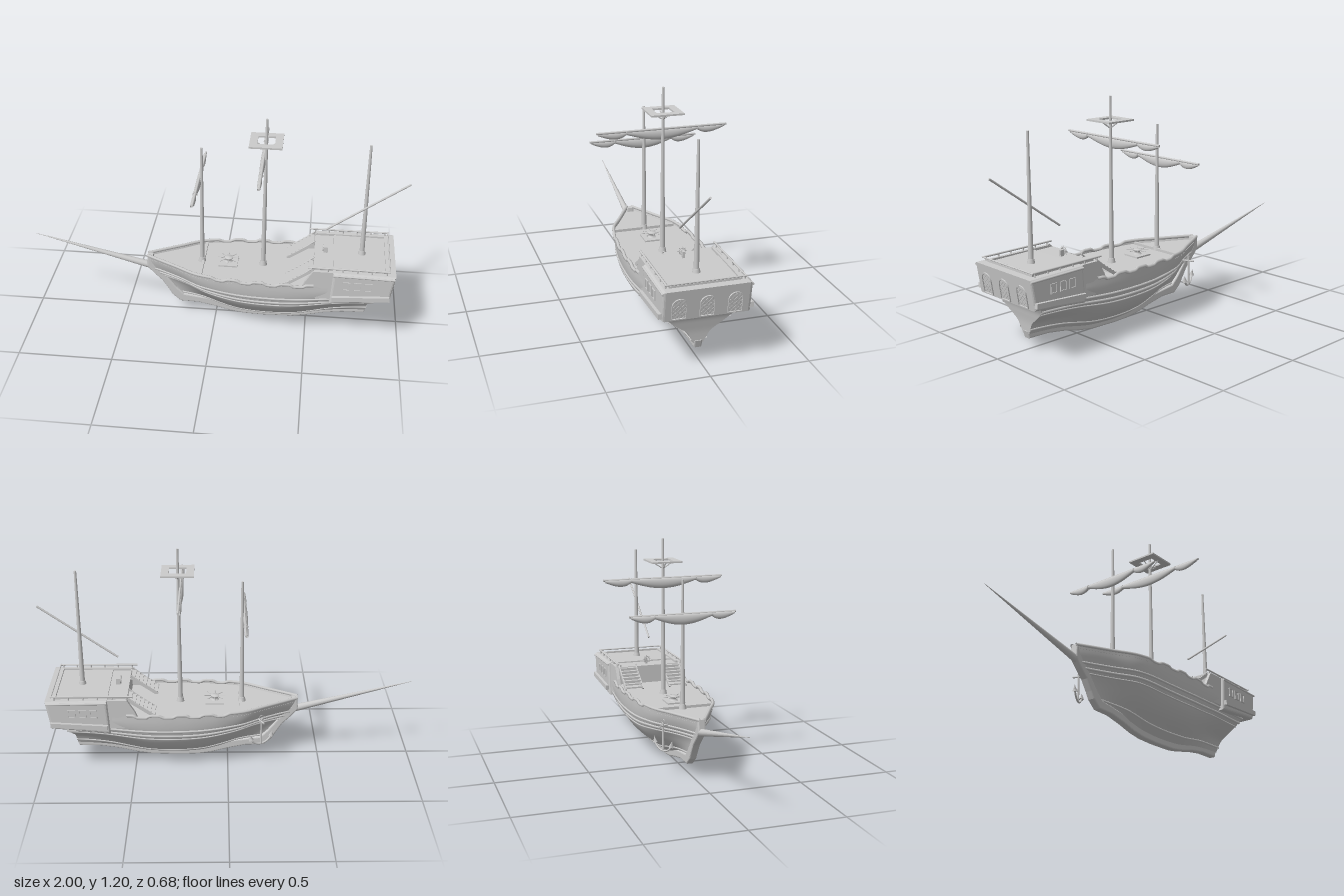
import * as THREE from 'three';

const mat = new THREE.MeshStandardMaterial({ color: 0xcccccc, side: THREE.DoubleSide });
const V = (x, y, z) => new THREE.Vector3(x, y, z);

function add(parent, name, geo, x = 0, y = 0, z = 0) {
  const m = new THREE.Mesh(geo, mat);
  m.name = name;
  m.position.set(x, y, z);
  parent.add(m);
  return m;
}
const box = (p, name, w, h, d, x, y, z) => add(p, name, new THREE.BoxGeometry(w, h, d), x, y, z);

// Tapered round bar from a to b
function bar(parent, name, a, b, r1, r2 = r1, sides = 10) {
  const d = b.clone().sub(a);
  const m = add(parent, name, new THREE.CylinderGeometry(r2, r1, d.length(), sides));
  m.position.copy(a).addScaledVector(d, 0.5);
  m.quaternion.setFromUnitVectors(V(0, 1, 0), d.normalize());
  return m;
}

// Grid surface from a function of (u, v)
function surface(nu, nv, fn) {
  const pos = [], idx = [];
  for (let j = 0; j <= nv; j++) for (let i = 0; i <= nu; i++) pos.push(...fn(i / nu, j / nv).toArray());
  for (let j = 0; j < nv; j++) for (let i = 0; i < nu; i++) {
    const a = j * (nu + 1) + i, c = a + nu + 1;
    idx.push(a, a + 1, c, a + 1, c + 1, c);
  }
  const g = new THREE.BufferGeometry();
  g.setAttribute('position', new THREE.Float32BufferAttribute(pos, 3));
  g.setIndex(idx);
  g.computeVertexNormals();
  return g;
}

// Smooth lookup in a table of [key, value...] rows
function table(rows) {
  const n = rows[0].length - 1;
  const it = new THREE.CubicInterpolant(rows.map(r => r[0]), rows.flatMap(r => r.slice(1)), n);
  return t => Array.from(it.evaluate(t));
}
const polygon = pts => new THREE.Shape(pts.map(p => new THREE.Vector2(...p)));

// Side profile extruded across the ship, centred on z
function slab(pts, width, bevel = 0) {
  const g = new THREE.ExtrudeGeometry(polygon(pts), {
    depth: width - 2 * bevel, bevelEnabled: bevel > 0, bevelSize: bevel, bevelThickness: bevel, bevelOffset: -bevel, bevelSegments: 3 });
  return g.translate(0, 0, -width / 2 + bevel);
}

// Hull lines: keel height, levels (bow x, stern x, half beam, stern half beam), plan fullness
const keelY = table([[-0.4, 0.09], [-0.2, 0.09], [-0.05, 0.08], [0.15, 0.035], [0.42, 0.035], [0.65, 0.075], [0.9, 0.09]]);
const level = table([[0, -0.2, 0.825, 0.03, 0.025], [0.12, -0.235, 0.828, 0.075, 0.04], [0.25, -0.255, 0.832, 0.125, 0.06],
  [0.4, -0.28, 0.84, 0.165, 0.11], [0.55, -0.315, 0.85, 0.19, 0.155], [0.7, -0.35, 0.87, 0.206, 0.18],
  [0.85, -0.37, 0.885, 0.213, 0.19], [1, -0.38, 0.89, 0.215, 0.19]]);
const plan = table([[0, 0.08], [0.063, 0.28], [0.14, 0.52], [0.22, 0.78], [0.28, 0.88], [0.38, 0.96], [0.5, 1], [1, 1]]);

// Rail height, with scallops along the waist
function railY(x) {
  const waist = THREE.MathUtils.smoothstep(x, -0.03, 0.03);
  return 0.348 - waist * (0.006 + 0.006 * Math.tanh(3 * Math.sin(x * 45)));
}
function hullPoint(t, v, side, out = 0) {
  const [xb, xs, beam, stern] = level(v);
  const x = xb + (xs - xb) * t, k = keelY(x)[0];
  const w = THREE.MathUtils.lerp(beam, stern, THREE.MathUtils.smoothstep(t, 0.55, 1));
  const f = Math.pow(plan(t)[0], 1 + (1 - v) * 0.7);
  const top = THREE.MathUtils.lerp(0.342, railY(x), THREE.MathUtils.smoothstep(v, 0.85, 1));
  return V(x, k + (top - k) * v, side * (w * f + out));
}

function buildHull(ship) {
  for (const s of [1, -1]) {
    add(ship, 'hullSide', surface(90, 28, (u, v) => hullPoint(s > 0 ? u : 1 - u, v, s)));
    // Wales and cap rail follow the hull surface
    for (const [name, v, r, end] of [['wale', 0.7, 0.007, 1], ['wale', 0.6, 0.008, 1], ['wale', 0.52, 0.005, 1], ['lowerWale', 0.1, 0.006, 1], ['capRail', 1, 0.009, 0.72]]) {
      const pts = Array.from({ length: 70 }, (_, i) => hullPoint(i / 69 * end, v, s, v === 1 ? -0.004 : 0.001));
      add(ship, name, new THREE.TubeGeometry(new THREE.CatmullRomCurve3(pts), 140, r, 6));
    }
  }
  add(ship, 'transom', surface(1, 28, (u, v) => hullPoint(1, v, 1 - 2 * u)));
  add(ship, 'deck', surface(1, 60, (u, v) => {
    const p = hullPoint(v * 0.78, 0.95, 2 * u - 1);
    return V(p.x, 0.328, p.z);
  }));
  // Keel and raked stem
  add(ship, 'keel', slab([[-0.38, 0.35], [-0.385, 0.28], [-0.345, 0.235], [-0.3, 0.19], [-0.265, 0.135], [-0.245, 0.1], [-0.2, 0.06],
    [-0.1, 0.058], [0, 0.037], [0.08, 0.015], [0.16, 0.003], [0.26, 0], [0.42, 0.005], [0.5, 0.018], [0.6, 0.042], [0.7, 0.057], [0.82, 0.06],
    [0.832, 0.1], [0.7, 0.1], [0.6, 0.085], [0.42, 0.055], [0.16, 0.055], [0, 0.085], [-0.18, 0.11], [-0.22, 0.15], [-0.29, 0.24], [-0.345, 0.3], [-0.35, 0.35]], 0.042, 0.008));
  box(ship, 'foredeckBeam', 0.014, 0.016, 0.33, -0.07, 0.334, 0);
  bar(ship, 'bowsprit', V(-0.33, 0.27, 0), V(-1, 0.44, 0), 0.021, 0.001, 12);
}

// Window frame with glazing bars, facing +z
function windowFrame(parent, name, w, h, arched, step) {
  const outline = (a, b) => {
    const s = new THREE.Shape().moveTo(-a, -b).lineTo(a, -b);
    if (arched) s.lineTo(a, b - a).absarc(0, b - a, a, 0, Math.PI, false);
    else s.lineTo(a, b).lineTo(-a, b);
    return s.closePath();
  };
  const g = new THREE.Group();
  g.name = name;
  parent.add(g);
  const s = outline(w / 2, h / 2);
  s.holes.push(outline(w / 2 - 0.005, h / 2 - 0.005));
  add(g, 'frame', new THREE.ExtrudeGeometry(s, { depth: 0.006, bevelEnabled: false }));
  // Diagonal lattice, clipped to the opening
  const inside = (x, y) => Math.abs(x) < w / 2 && y > -h / 2 && y < h / 2 &&
    (!arched || y < h / 2 - w / 2 || Math.hypot(x, y - h / 2 + w / 2) < w / 2);
  for (const d of [1, -1]) for (let c = -h; step && c <= h; c += step) {
    const run = [];
    for (let x = -w / 2; x <= w / 2; x += 0.001) if (inside(x, c + d * x)) run.push(V(x, c + d * x, 0.001));
    if (run.length > 4) bar(g, 'lattice', run[0], run[run.length - 1], 0.0015, 0.0015, 4);
  }
  return g;
}

function buildStern(ship) {
  add(ship, 'quarterdeck', slab([[0.53, 0.32], [0.53, 0.43], [0.66, 0.43], [0.66, 0.28]], 0.385));
  add(ship, 'cabin', slab([[0.62, 0.245], [0.632, 0.437], [0.958, 0.432], [0.932, 0.275], [0.8, 0.263]], 0.436, 0.014));
  for (const s of [1, -1]) {
    add(ship, 'quarterWing', slab([[0.47, 0.32], [0.49, 0.37], [0.52, 0.42], [0.53, 0.436], [0.65, 0.436], [0.65, 0.27], [0.55, 0.27]], 0.018), 0, 0, s * 0.195);
    box(ship, 'sideMoulding', 0.3, 0.026, 0.03, 0.782, 0.296, s * 0.219).rotation.z = 0.06;
    bar(ship, 'cabinTrim', V(0.635, 0.425, s * 0.217), V(0.953, 0.42, s * 0.217), 0.006);
    box(ship, 'coaming', 0.38, 0.012, 0.012, 0.725, 0.437, s * 0.172);
    // Handrail and posts
    bar(ship, 'handrail', V(0.5, 0.453, s * 0.193), V(0.925, 0.453, s * 0.193), 0.005);
    for (let i = 0; i < 6; i++) bar(ship, 'railPost', V(0.53 + i * 0.076, 0.42, s * 0.193), V(0.53 + i * 0.076, 0.453, s * 0.193), 0.004);
    for (const x of [0.705, 0.762, 0.819]) {
      const w = windowFrame(ship, 'sideWindow', 0.04, 0.05, false, 0);
      w.position.set(x, 0.366, s * 0.217);
      w.rotation.y = s > 0 ? 0 : Math.PI;
    }
    // Stairs
    for (let i = 0; i < 7; i++) box(ship, 'stairTread', 0.022, 0.008, 0.1, 0.395 + i * 0.02, 0.34 + i * 0.014, s * 0.13);
    for (const z of [0.08, 0.18]) {
      const m = box(ship, 'stairStringer', 0.175, 0.016, 0.008, 0.455, 0.378, s * z);
      m.rotation.z = 0.61;
      bar(ship, 'stairRail', V(0.415, 0.35, s * z), V(0.53, 0.445, s * z), 0.004);
    }
  }
  box(ship, 'sternCoaming', 0.012, 0.012, 0.344, 0.91, 0.437, 0);
  bar(ship, 'sternRail', V(0.925, 0.453, -0.2), V(0.925, 0.453, 0.2), 0.004);
  // Lattice windows on the raked stern face
  const face = new THREE.Group();
  face.name = 'sternWindows';
  face.position.set(0.9435, 0.337, 0);
  face.rotation.z = -0.165;
  ship.add(face);
  for (const z of [-0.137, 0, 0.137]) {
    const w = windowFrame(face, 'sternWindow', 0.075, 0.112, true, 0.022);
    w.position.set(0, 0, z);
    w.rotation.y = Math.PI / 2;
  }
  // Steering wheel
  box(ship, 'wheelStand', 0.022, 0.035, 0.012, 0.59, 0.445, 0);
  add(ship, 'wheelRim', new THREE.TorusGeometry(0.016, 0.0025, 6, 20).rotateY(Math.PI / 2), 0.575, 0.457, 0);
  for (let i = 0; i < 4; i++) {
    const a = i * Math.PI / 4, y = Math.cos(a) * 0.024, z = Math.sin(a) * 0.024;
    bar(ship, 'wheelSpoke', V(0.575, 0.457 - y, -z), V(0.575, 0.457 + y, z), 0.0015, 0.0015, 5);
  }
}

function mast(ship, name, x, y0, y1) {
  bar(ship, name, V(x, y0, 0), V(x, y1, 0), 0.0135, 0.0065, 14);
  bar(ship, 'mastCollar', V(x, y0, 0), V(x, y0 + 0.025, 0), 0.021, 0.016, 14);
}

// Yard with a furled sail gathered at two ties
function yardSail(ship, x, y, half, tie) {
  bar(ship, 'yard', V(x, y, -half), V(x, y, half), 0.006);
  const end = half - 0.008;
  add(ship, 'furledSail', surface(72, 14, (u, v) => {
    const z = (2 * u - 1) * end, q = Math.abs(z), a = v * Math.PI * 2;
    const e = (q - tie) / (end - tie);
    const depth = q < tie ? 0.018 + 0.038 * Math.cos(q / tie * Math.PI / 2) : 0.018 + 0.022 * Math.sin(Math.PI * Math.pow(e, 0.75)) - 0.006 * e;
    const swell = 0.006 + depth * 0.13;
    return V(x - Math.sin(a) * swell - 0.004, y - depth / 2 + Math.cos(a) * depth / 2, z);
  }));
  for (const s of [1, -1]) add(ship, 'sailTie', new THREE.TorusGeometry(0.011, 0.002, 6, 14), x - 0.002, y - 0.007, s * tie);
}

function buildRigging(ship) {
  mast(ship, 'foreMast', -0.078, 0.328, 1.02);
  mast(ship, 'mainMast', 0.256, 0.328, 1.2);
  mast(ship, 'mizzenMast', 0.782, 0.43, 1.082);
  yardSail(ship, -0.09, 0.842, 0.293, 0.158);
  yardSail(ship, 0.245, 0.985, 0.34, 0.187);
  bar(ship, 'mizzenBoom', V(0.585, 0.585, 0.017), V(0.998, 0.88, 0.017), 0.0055);
  // Square lookout platform with braces
  const sq = h => [[-h, -h], [h, -h], [h, h], [-h, h]];
  const s = polygon(sq(0.085));
  s.holes.push(polygon(sq(0.045)));
  add(ship, 'lookout', new THREE.ExtrudeGeometry(s, { depth: 0.009, bevelEnabled: false }).rotateX(-Math.PI / 2), 0.256, 1.073, 0);
  for (const [dx, dz] of [[1, 0], [-1, 0], [0, 1], [0, -1]])
    bar(ship, 'lookoutBrace', V(0.256, 1.035, 0), V(0.256 + dx * 0.06, 1.074, dz * 0.06), 0.003, 0.003, 6);
}

function buildFittings(ship) {
  // Capstan
  box(ship, 'capstanBase', 0.1, 0.01, 0.1, 0.068, 0.331, 0);
  add(ship, 'capstan', new THREE.LatheGeometry([[0.024, 0], [0.016, 0.008], [0.014, 0.016], [0.022, 0.02], [0.022, 0.028], [0, 0.03]].map(p => new THREE.Vector2(...p)), 16), 0.068, 0.334, 0);
  for (let i = 0; i < 8; i++) {
    const a = i * Math.PI / 4;
    bar(ship, 'capstanBar', V(0.068, 0.358, 0), V(0.068 + 0.058 * Math.cos(a), 0.358, 0.058 * Math.sin(a)), 0.002, 0.002, 5);
  }
  // Anchor hanging on the right bow
  const anchor = new THREE.Group();
  anchor.name = 'anchor';
  anchor.position.set(-0.18, 0.14, -0.142);
  anchor.rotation.y = 0.45;
  ship.add(anchor);
  bar(anchor, 'shank', V(0, 0, 0), V(0, 0.15, 0), 0.006, 0.005, 8);
  bar(anchor, 'stock', V(0, 0.135, -0.03), V(0, 0.135, 0.03), 0.005, 0.005, 8);
  add(anchor, 'ring', new THREE.TorusGeometry(0.011, 0.002, 6, 16), 0, 0.16, 0);
  add(anchor, 'arms', new THREE.TorusGeometry(0.07, 0.005, 8, 24, Math.PI * 0.8).rotateZ(Math.PI * 1.1), 0, 0.07, 0);
  for (const s of [1, -1]) {
    const fluke = add(anchor, 'fluke', new THREE.ConeGeometry(0.015, 0.035, 4), s * 0.064, 0.05, 0);
    fluke.rotation.z = -s * 0.25;
  }
}

export function createModel() {
  const ship = new THREE.Group();
  ship.name = 'sailingShip';
  buildHull(ship);
  buildStern(ship);
  buildRigging(ship);
  buildFittings(ship);
  return ship;
}
